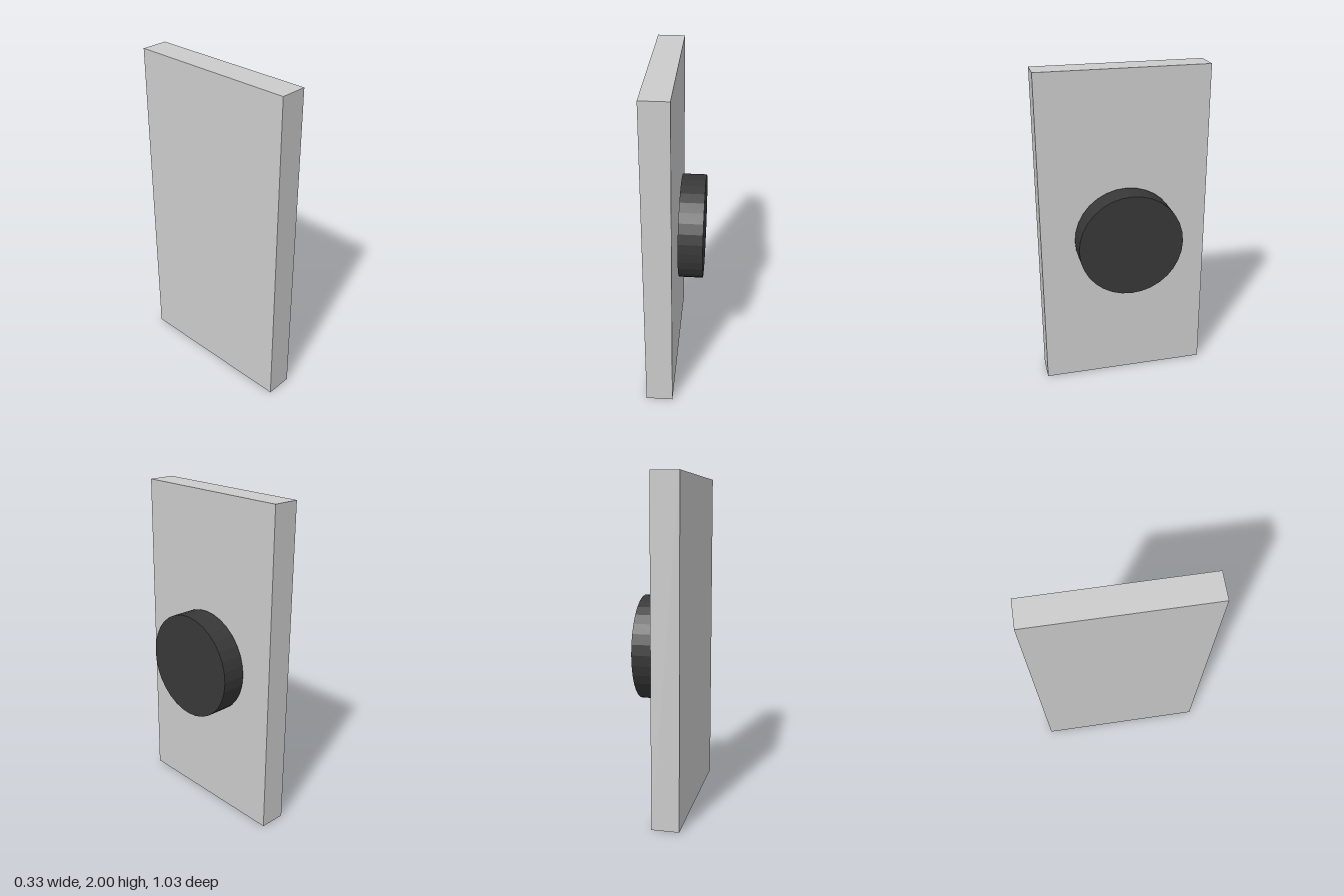
import * as THREE from 'three';

export function createModel() {
  const model = new THREE.Group();

  // Upright rectangular plate
  const plate = new THREE.Mesh(
    new THREE.BoxGeometry(0.163, 2, 1.034),
    new THREE.MeshStandardMaterial({ color: 0xcccccc })
  );
  plate.name = 'plate';
  plate.position.set(-0.0815, 1, 0);
  model.add(plate);

  // Dark round knob, set just clear of the plate's +x face
  const knob = new THREE.Mesh(
    new THREE.CylinderGeometry(0.3195, 0.3195, 0.146, 32),
    new THREE.MeshStandardMaterial({ color: 0x383838, flatShading: true })
  );
  knob.name = 'knob';
  knob.rotation.z = -Math.PI / 2;
  knob.position.set(0.09, 0.97, -0.0075);
  model.add(knob);

  return model;
}
